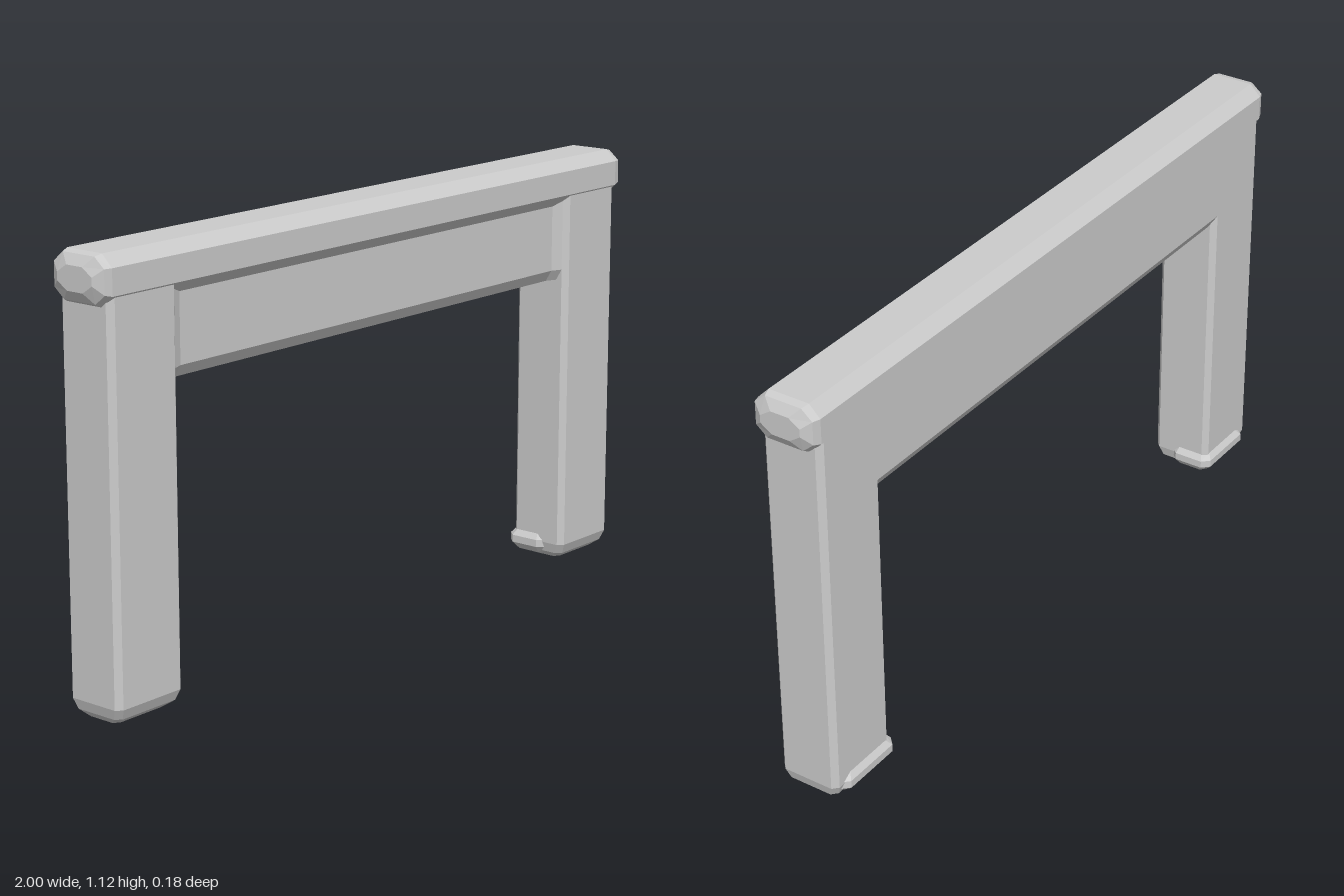
import * as THREE from 'three';

const material = new THREE.MeshStandardMaterial({ color: 0xcccccc, flatShading: true });

// Loft through chamfered rectangles [t, a0, a1, b0, b1, chamferA, chamferB].
// Along 'x' the section lies in (y, z); along 'y' it lies in (z, x).
function loft(name, axis, sections) {
  const positions = [];
  const place = (t, a, b) => (axis === 'x' ? [t, a, b] : [b, t, a]);
  const rings = sections.map(([t, a0, a1, b0, b1, ca, cb]) => [
    [a0 + ca, b0], [a1 - ca, b0], [a1, b0 + cb], [a1, b1 - cb],
    [a1 - ca, b1], [a0 + ca, b1], [a0, b1 - cb], [a0, b0 + cb],
  ].map(([a, b]) => place(t, a, b)));
  const tri = (p, q, r) => positions.push(...p, ...q, ...r);
  for (let i = 0; i < rings.length - 1; i++) {
    const lo = rings[i], hi = rings[i + 1];
    for (let j = 0; j < 8; j++) {
      const k = (j + 1) % 8;
      tri(lo[j], lo[k], hi[k]);
      tri(lo[j], hi[k], hi[j]);
    }
  }
  const first = rings[0], last = rings[rings.length - 1];
  for (let j = 1; j < 7; j++) {
    tri(first[0], first[j + 1], first[j]);
    tri(last[0], last[j], last[j + 1]);
  }
  const geometry = new THREE.BufferGeometry();
  geometry.setAttribute('position', new THREE.Float32BufferAttribute(positions, 3));
  geometry.computeVertexNormals();
  const mesh = new THREE.Mesh(geometry, material);
  mesh.name = name;
  return mesh;
}

export function createModel() {
  const model = new THREE.Group();
  model.name = 'tableFrame';

  // Top rail with rounded ends
  const railEnd = [[1, 1.03, 1.09, -0.05, 0.06, 0.02, 0.03], [0.985, 1.005, 1.115, -0.075, 0.085, 0.025, 0.03],
    [0.965, 0.995, 1.12, -0.082, 0.09, 0.03, 0.03]];
  model.add(loft('topRail', 'x', [
    ...railEnd.map(([t, ...s]) => [-t, ...s]),
    ...railEnd.slice().reverse(),
  ]));

  // Apron under the rail, its front set back between the legs
  const apron = (x, front) => [x, 0.79, 1.07, -0.08, front, 0.03, 0.018];
  model.add(loft('apron', 'x', [
    apron(-0.85, 0.08), apron(-0.77, 0.08), apron(-0.72, 0.06),
    apron(0.72, 0.06), apron(0.77, 0.08), apron(0.85, 0.08),
  ]));

  for (const [side, label] of [[1, 'left'], [-1, 'right']]) {
    const span = (inner, outer) => (side > 0 ? [inner, outer] : [-outer, -inner]);

    // Leg with chamfered foot
    model.add(loft(label + 'Leg', 'y', [
      [0, -0.045, 0.05, ...span(0.78, 0.945), 0.012, 0.015],
      [0.018, -0.07, 0.075, ...span(0.757, 0.962), 0.014, 0.015],
      [0.045, -0.08, 0.086, ...span(0.75, 0.97), 0.014, 0.015],
      [1.07, -0.08, 0.086, ...span(0.75, 0.97), 0.014, 0.015],
    ]));

    // Small lip around the inner back of the foot
    model.add(loft(label + 'FootLip', 'y', [
      [0.01, -0.075, 0.02, ...span(0.755, 0.93), 0.015, 0.02],
      [0.03, -0.092, 0.03, ...span(0.738, 0.945), 0.02, 0.02],
      [0.05, -0.092, 0.03, ...span(0.738, 0.945), 0.02, 0.02],
      [0.068, -0.078, 0.02, ...span(0.752, 0.93), 0.015, 0.02],
    ]));
  }
  return model;
}
